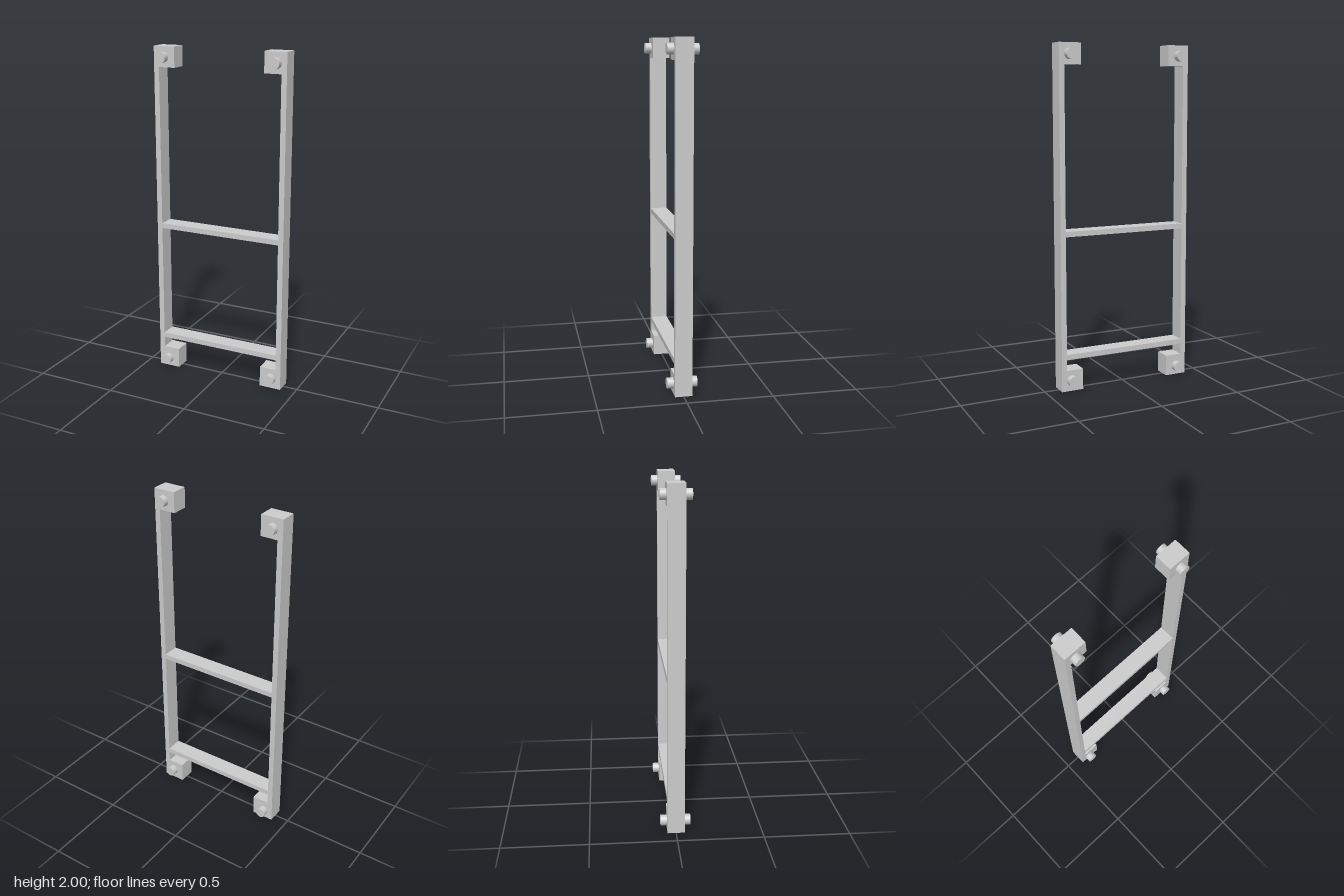
import * as THREE from 'three';

const DEPTH = 0.1;

export function createModel() {
  const model = new THREE.Group();
  model.name = 'ladderFrame';
  const material = new THREE.MeshStandardMaterial({ color: 0xcccccc });

  // Box given by its x and y limits, centred in depth
  function addBar(name, x0, x1, y0, y1) {
    const bar = new THREE.Mesh(new THREE.BoxGeometry(x1 - x0, y1 - y0, DEPTH), material);
    bar.name = name;
    bar.position.set((x0 + x1) / 2, (y0 + y1) / 2, 0);
    model.add(bar);
  }

  // Pins stick out of both faces of a corner block
  const pinGeometry = new THREE.CylinderGeometry(0.031, 0.031, 0.175, 32).rotateX(Math.PI / 2);
  function addPin(name, x, y) {
    const pin = new THREE.Mesh(pinGeometry, material);
    pin.name = name;
    pin.position.set(x, y, 0);
    model.add(pin);
  }

  // Uprights, corner blocks and pins on each side
  for (const [side, s] of [['left', 1], ['right', -1]]) {
    const span = (a, b) => (s > 0 ? [a, b] : [-b, -a]);
    addBar(side + 'Upright', ...span(0.379, 0.411), 0, 2);
    addBar(side + 'TopBlock', ...span(0.278, 0.379), 1.88, 2);
    addBar(side + 'BottomBlock', ...span(0.278, 0.379), 0, 0.124);
    addPin(side + 'TopPin', s * 0.349, 1.938);
    addPin(side + 'BottomPin', s * 0.349, s > 0 ? 0.063 : 0.053);
  }

  // Rungs
  addBar('lowerRung', -0.379, 0.379, 0.188, 0.219);
  addBar('middleRung', -0.379, 0.379, 0.91, 0.941);

  return model;
}
